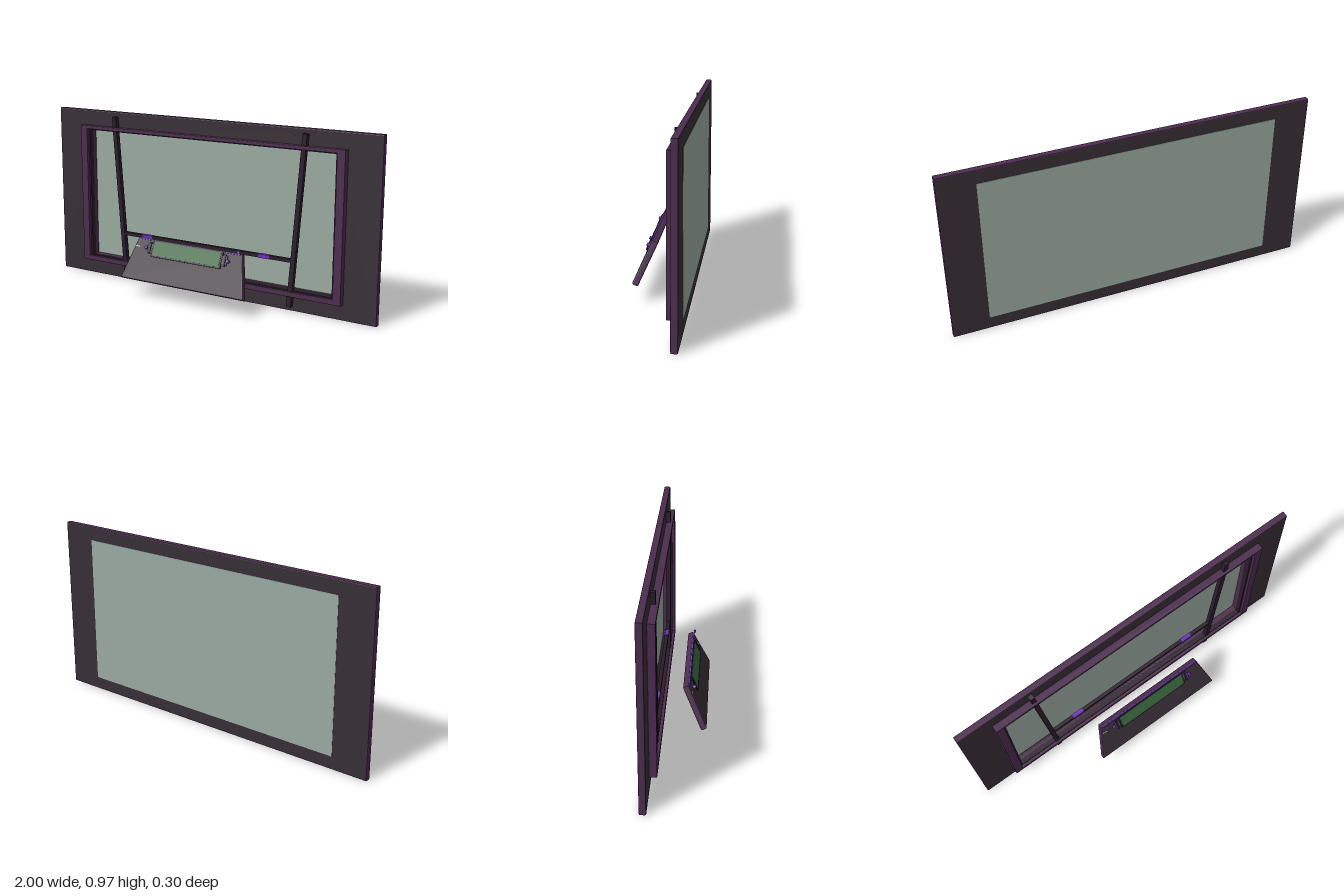
import * as THREE from 'three';

const mat = (name, color) => {
  const m = new THREE.MeshStandardMaterial({ color });
  m.name = name;
  return m;
};

export function createModel() {
  const charcoal = mat('charcoal', 0x372e36);
  const plum = mat('plum', 0x4c2c4e);
  const dark = mat('dark trim', 0x2a1c2a);
  const glass = mat('grey green glass', 0x9aa9a0);
  const green = mat('green', 0x38683f);
  const violet = mat('violet', 0x6a30b8);
  const slate = mat('slate', 0x46505a);
  const white = mat('white', 0xd8d8d8);

  const model = new THREE.Group();
  model.name = 'displayPanel';

  const add = (parent, name, geometry, material, x = 0, y = 0, z = 0) => {
    const mesh = new THREE.Mesh(geometry, material);
    mesh.name = name;
    mesh.position.set(x, y, z);
    parent.add(mesh);
    return mesh;
  };
  const box = (parent, name, w, h, d, material, x, y, z) =>
    add(parent, name, new THREE.BoxGeometry(w, h, d), material, x, y, z);
  const rect = (w, y0, y1, Type = THREE.Shape) => new Type(
    [[-w, y0], [w, y0], [w, y1], [-w, y1]].map(([x, y]) => new THREE.Vector2(x, y)));

  // Slab with a small bevel that keeps the outline at its given size
  const slab = (shape, depth, b) => new THREE.ExtrudeGeometry(shape, {
    depth: depth - 2 * b, bevelEnabled: true, bevelThickness: b,
    bevelSize: b, bevelOffset: -b, bevelSegments: 2,
  }).translate(0, 0, b);

  // Wide outer panel with its opening
  const outer = rect(1, 0.003, 0.97);
  outer.holes.push(rect(0.765, 0.122, 0.86, THREE.Path));
  add(model, 'outerPanel', slab(outer, 0.035, 0.005), [charcoal, plum], 0, 0, -0.147);

  // Raised inner bezel
  const bezel = rect(0.82, 0.09, 0.884);
  bezel.holes.push(rect(0.775, 0.115, 0.866, THREE.Path));
  add(model, 'innerBezel', slab(bezel, 0.039, 0.003), plum, 0, 0, -0.112);

  // Dark lining inside the opening
  const lining = rect(0.778, 0.112, 0.868);
  lining.holes.push(rect(0.765, 0.122, 0.86, THREE.Path));
  add(model, 'openingLining',
    new THREE.ExtrudeGeometry(lining, { depth: 0.055, bevelEnabled: false }), dark, 0, 0, -0.144);

  // Glass sheet on the back
  box(model, 'glass', 1.61, 0.822, 0.004, glass, 0, 0.484, -0.1465);

  // Slanted support rods and the crossbar between them
  for (const s of [-1, 1]) {
    const rod = box(model, 'supportRod', 0.026, 0.918, 0.025, dark, s * 0.558, 0.487, -0.0995);
    rod.rotation.z = -s * Math.atan2(0.07, 0.915);
    box(model, 'crossbarClip', 0.065, 0.021, 0.023, violet, s * 0.372, 0.28, -0.0985);
  }
  box(model, 'crossbar', 1.08, 0.019, 0.02, dark, 0, 0.28, -0.0985);

  // Tilted console in front
  const console_ = new THREE.Group();
  console_.name = 'console';
  console_.position.set(0, 0.206, 0.088);
  console_.rotation.x = -0.427;
  model.add(console_);

  const body = new THREE.Shape(
    [[-0.385, -0.117], [0.385, -0.117], [0.325, 0.117], [-0.325, 0.117]]
      .map(([x, y]) => new THREE.Vector2(x, y)));
  add(console_, 'consoleBody', slab(body, 0.033, 0.006), [charcoal, plum], 0, 0, -0.0165);

  // Green screen in its dark surround
  box(console_, 'screenSurround', 0.436, 0.094, 0.008, dark, 0, 0.068, 0.0205);
  box(console_, 'screen', 0.418, 0.078, 0.004, green, 0, 0.068, 0.0245);

  // Fittings at both ends of the screen
  for (const s of [-1, 1]) {
    box(console_, 'screenBracket', 0.03, 0.05, 0.007, slate, s * 0.234, 0.068, 0.02);
    box(console_, 'bracketArm', 0.012, 0.062, 0.012, dark, s * 0.234, 0.068, 0.0215);
    const knob = add(console_, 'knob',
      new THREE.CylinderGeometry(0.009, 0.009, 0.018, 12), violet, s * 0.256, 0.066, 0.025);
    knob.rotation.x = Math.PI / 2;
  }
  box(console_, 'marker', 0.028, 0.005, 0.003, white, -0.315, 0.068, 0.018);

  // Light strip along the top edge
  box(console_, 'lightStrip', 0.63, 0.007, 0.006, violet, 0, 0.113, 0.019);
  box(console_, 'stripEnd', 0.014, 0.012, 0.01, violet, 0.31, 0.122, 0.03);

  return model;
}
